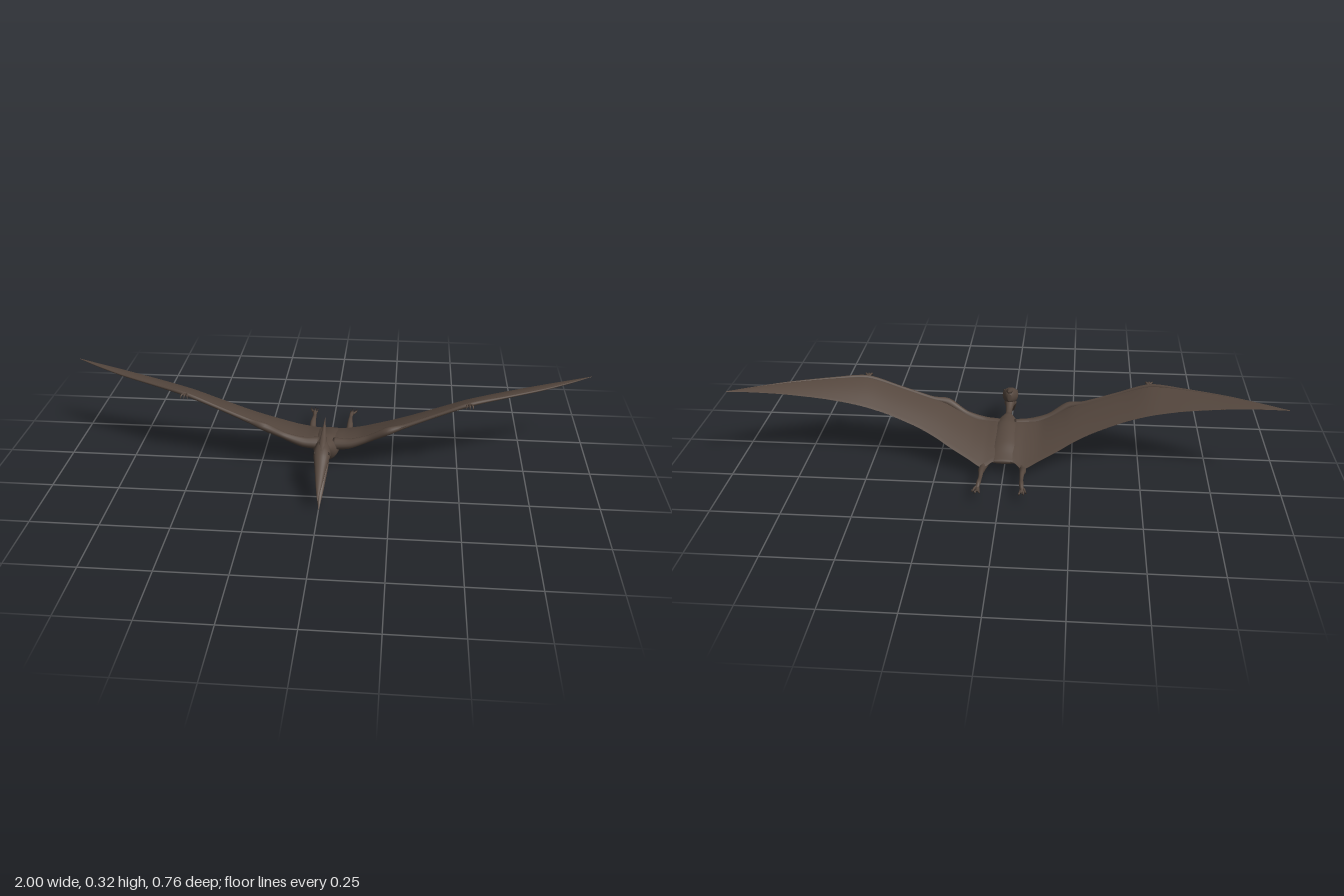
import * as THREE from 'three';

const V = (x, y, z) => new THREE.Vector3(x, y, z);
const skin = new THREE.MeshStandardMaterial({ name: 'brown skin', color: 0x55473e });
const dark = new THREE.MeshStandardMaterial({ name: 'dark claw', color: 0x3a302a });

// Closed skin over a row of equal rings, always wound outwards
function loft(rings) {
  const n = rings[0].length, pts = rings.flat(), idx = [];
  for (let i = 0; i < rings.length - 1; i++) {
    for (let j = 0; j < n; j++) {
      const a = i * n + j, b = i * n + (j + 1) % n;
      idx.push(a, b, a + n, b, b + n, a + n);
    }
  }
  [0, rings.length - 1].forEach((r, end) => {
    const c = pts.length;
    pts.push(rings[r].reduce((s, p) => s.add(p), V(0, 0, 0)).divideScalar(n));
    for (let j = 0; j < n; j++) {
      const a = r * n + j, b = r * n + (j + 1) % n;
      if (end) idx.push(c, a, b); else idx.push(c, b, a);
    }
  });
  let volume = 0;
  for (let i = 0; i < idx.length; i += 3) {
    volume += pts[idx[i]].dot(V(0, 0, 0).crossVectors(pts[idx[i + 1]], pts[idx[i + 2]]));
  }
  if (volume < 0) idx.reverse();
  const g = new THREE.BufferGeometry().setFromPoints(pts);
  g.setIndex(idx);
  g.computeVertexNormals();
  return g;
}

// Smoothly resample rows of numbers
function resample(rows, count) {
  const cols = rows[0].map((_, k) =>
    new THREE.CatmullRomCurve3(rows.map((r, i) => V(i, r[k], 0)), false, 'catmullrom', 0.4));
  return Array.from({ length: count + 1 }, (_, i) => cols.map(c => c.getPoint(i / count).y));
}

// Rows of [z, top, bottom, half width] become oval sections
function ovals(rows, count = 32, n = 20) {
  return loft(resample(rows, count).map(([z, t, b, w]) =>
    Array.from({ length: n }, (_, j) => {
      const a = j / n * Math.PI * 2;
      return V(Math.cos(a) * w, (t + b) / 2 + Math.sin(a) * (t - b) / 2, z);
    })));
}

// Rows of [x, y, z, radius] become a tapering limb
function limb(rows, side, count = 28, n = 12) {
  const data = resample(rows, count);
  const at = i => V(side * data[i][0], data[i][1], data[i][2]);
  return loft(data.map((d, i) => {
    const dir = at(Math.min(i + 1, count)).sub(at(Math.max(i - 1, 0))).normalize();
    const u = V(0, 1, 0).addScaledVector(dir, -dir.y).normalize();
    const v = V(0, 0, 0).crossVectors(dir, u);
    return Array.from({ length: n }, (_, j) => {
      const a = j / n * Math.PI * 2, r = Math.max(d[3], 0.0004);
      return at(i).addScaledVector(u, Math.cos(a) * r).addScaledVector(v, Math.sin(a) * r);
    });
  }));
}

// Wing stations: x, leading z, leading y, trailing z, trailing y, half thickness
const WING = [
  [0, 0.04, 0.115, -0.178, 0.06, 0.008], [0.04, 0.04, 0.117, -0.186, 0.056, 0.008],
  [0.075, 0.038, 0.117, -0.213, 0.046, 0.007], [0.13, 0.045, 0.124, -0.19, 0.068, 0.006],
  [0.2, 0.053, 0.156, -0.165, 0.1, 0.005], [0.25, 0.06, 0.182, -0.145, 0.125, 0.004],
  [0.32, 0.048, 0.208, -0.127, 0.157, 0.004], [0.43, 0.04, 0.25, -0.118, 0.202, 0.003],
  [0.53, 0.027, 0.286, -0.122, 0.236, 0.003], [0.65, -0.018, 0.297, -0.133, 0.264, 0.003],
  [0.8, -0.083, 0.305, -0.156, 0.29, 0.002], [0.92, -0.149, 0.311, -0.18, 0.306, 0.0015],
  [1, -0.196, 0.315, -0.2, 0.315, 0.0005],
];

function membrane(side) {
  const m = 12;
  return loft(resample(WING, 60).map(([x, zl, yl, zt, yt, h]) => {
    const edge = (t, sign) => V(side * x,
      yl + (yt - yl) * t + Math.sin(t * Math.PI) * (zl - zt) * 0.04
        + sign * h * (0.15 + Math.sin(Math.PI * Math.sqrt(t)) * 0.85),
      zl + (zt - zl) * t);
    const top = [], under = [];
    for (let j = 0; j <= m; j++) {
      top.push(edge(j / m, 1));
      under.unshift(edge(j / m, -1));
    }
    return [...top, ...under];
  }));
}

export function createModel() {
  const model = new THREE.Group();
  const add = (name, geometry, material = skin) => {
    const mesh = new THREE.Mesh(geometry, material);
    mesh.name = name;
    model.add(mesh);
    return mesh;
  };

  // Torso running into the slim neck
  add('bodyAndNeck', ovals([
    [0.175, 0.155, 0.108, 0.02], [0.15, 0.138, 0.105, 0.016], [0.12, 0.125, 0.104, 0.012],
    [0.092, 0.121, 0.1, 0.013], [0.07, 0.126, 0.066, 0.028], [0.045, 0.128, 0.039, 0.044],
    [0, 0.129, 0.035, 0.054], [-0.06, 0.114, 0.034, 0.057], [-0.11, 0.097, 0.028, 0.058],
    [-0.15, 0.077, 0.035, 0.055], [-0.182, 0.062, 0.048, 0.045]], 48, 28));

  // Head with open beak and backswept crest
  add('skullAndUpperBeak', ovals([
    [0.143, 0.172, 0.142, 0.008], [0.153, 0.185, 0.13, 0.019], [0.175, 0.182, 0.117, 0.029],
    [0.2, 0.175, 0.117, 0.031], [0.225, 0.163, 0.117, 0.027], [0.26, 0.14, 0.107, 0.021],
    [0.32, 0.102, 0.085, 0.012], [0.382, 0.065, 0.063, 0.001]], 40));
  add('lowerBeak', ovals([
    [0.15, 0.14, 0.106, 0.015], [0.185, 0.13, 0.102, 0.024], [0.21, 0.117, 0.091, 0.024],
    [0.25, 0.084, 0.059, 0.018], [0.29, 0.045, 0.028, 0.011], [0.336, 0.002, 0, 0.001]]));
  add('crest', ovals([
    [0.21, 0.171, 0.15, 0.01], [0.18, 0.183, 0.158, 0.014], [0.15, 0.193, 0.172, 0.012],
    [0.1, 0.21, 0.197, 0.006], [0.058, 0.226, 0.222, 0.001]]));

  for (const side of [1, -1]) {
    const label = side > 0 ? 'left' : 'right';
    add(label + 'WingMembrane', membrane(side));

    // Arm bones and the long wing finger along the leading edge
    add(label + 'Arm', limb([
      [0.03, 0.1, 0.025, 0.024], [0.09, 0.108, 0.034, 0.019], [0.16, 0.135, 0.04, 0.013],
      [0.23, 0.176, 0.054, 0.015], [0.29, 0.194, 0.044, 0.009], [0.41, 0.241, 0.035, 0.007],
      [0.53, 0.285, 0.023, 0.008], [0.65, 0.296, -0.02, 0.005], [0.8, 0.304, -0.085, 0.004],
      [0.92, 0.31, -0.15, 0.0025], [1, 0.315, -0.198, 0.0005]], side, 60));

    // Small hand with three hooked fingers
    for (let i = 0; i < 3; i++) {
      const dx = (i - 1) * 0.009;
      add(label + 'HandFinger', limb([
        [0.526, 0.286, 0.025, 0.005], [0.528 + dx, 0.291, 0.04, 0.0035],
        [0.529 + dx * 1.3, 0.288, 0.05, 0.0025], [0.529 + dx * 1.4, 0.279, 0.055, 0.0004]], side, 12, 8));
    }

    // Trailing leg
    add(label + 'Leg', limb([
      [0.045, 0.063, -0.1, 0.024], [0.062, 0.049, -0.15, 0.019], [0.073, 0.041, -0.2, 0.013],
      [0.075, 0.049, -0.235, 0.012], [0.074, 0.055, -0.26, 0.009], [0.074, 0.052, -0.295, 0.007],
      [0.076, 0.053, -0.325, 0.008], [0.079, 0.044, -0.345, 0.007], [0.081, 0.04, -0.36, 0.004]], side, 40));

    // Spread toes with curved claws
    for (let i = 0; i < 4; i++) {
      const dx = (i - 1.5) * 0.008, up = (i % 2) * 0.006;
      add(label + 'Toe', limb([
        [0.078, 0.046, -0.335, 0.005], [0.081 + dx * 0.6, 0.039 + up, -0.352, 0.004],
        [0.082 + dx, 0.036 + up, -0.37, 0.003]], side, 10, 8));
      add(label + 'ToeClaw', limb([
        [0.082 + dx, 0.036 + up, -0.368, 0.003], [0.082 + dx * 1.1, 0.041 + up, -0.378, 0.002],
        [0.082 + dx * 1.1, 0.047 + up, -0.374, 0.0004]], side, 8, 6), dark);
    }

    // Eye
    const eye = add(label + 'Eye', new THREE.SphereGeometry(0.006, 14, 10), dark);
    eye.position.set(side * 0.026, 0.157, 0.208);
    eye.scale.x = 0.6;
  }
  return model;
}
